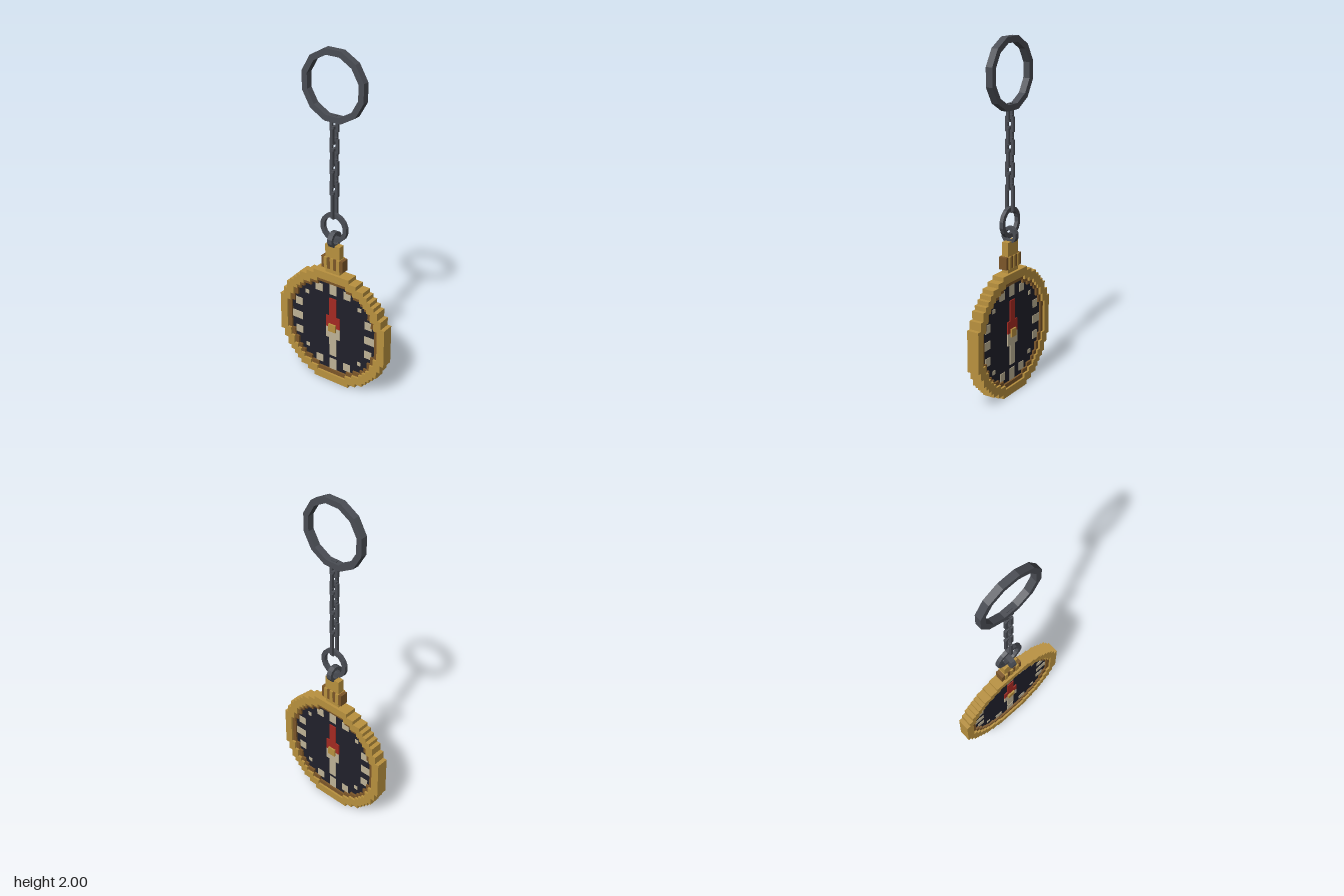
import * as THREE from 'three';
import { mergeGeometries } from 'three/addons/utils/BufferGeometryUtils.js';

const CELL = 0.024; // size of one block of the stepped disc
const material = (name, color) => {
  const m = new THREE.MeshStandardMaterial({ color });
  m.name = name;
  return m;
};

// A block given by its centre and size
const box = (x, y, z, sx, sy, sz) => new THREE.BoxGeometry(sx, sy, sz).translate(x, y, z);

// Outline of a circle stepped on the block grid, in the XY plane
function steppedCircle(r, PathType) {
  const n = Math.floor(r);
  const width = (row) => Math.round(Math.sqrt(Math.max(0, r * r - (row + 0.5) ** 2)));
  const right = [];
  for (let row = -n; row < n; row++) {
    const w = width(row);
    if (row === -n || w !== width(row - 1)) right.push([w, row]);
    if (row === n - 1 || w !== width(row + 1)) right.push([w, row + 1]);
  }
  const left = right.map(([x, y]) => [-x, y]).reverse();
  return new PathType([...right, ...left].map(([x, y]) => new THREE.Vector2(x * CELL, y * CELL)));
}

// Outline of a regular polygon with flat top, measured to its sides
function polygon(apothem, sides, PathType) {
  const r = apothem / Math.cos(Math.PI / sides);
  const pts = [];
  for (let i = 0; i < sides; i++) {
    const a = ((i + 0.5) / sides) * Math.PI * 2;
    pts.push(new THREE.Vector2(r * Math.cos(a), r * Math.sin(a)));
  }
  return new PathType(pts);
}

// Centred slab from an outline and an optional hole
function slab(shape, hole, depth) {
  if (hole) shape.holes.push(hole);
  return new THREE.ExtrudeGeometry(shape, { depth, bevelEnabled: false }).translate(0, 0, -depth / 2);
}

const steppedSlab = (outer, inner, depth) =>
  slab(steppedCircle(outer, THREE.Shape), inner && steppedCircle(inner, THREE.Path), depth).rotateY(Math.PI / 2);

const ringSlab = (outer, inner, sides, depth) =>
  slab(polygon(outer, sides, THREE.Shape), polygon(inner, sides, THREE.Path), depth);

// Chain link with clipped corners, standing in the XY plane
function linkGeometry(height) {
  const wire = 0.016, half = 0.027;
  const parts = [];
  for (const s of [-1, 1]) {
    parts.push(box(s * (half - wire / 2), 0, 0, wire, height - 0.018, wire));
    parts.push(box(0, s * (height / 2 - wire / 2), 0, 0.036, wire, wire));
  }
  return mergeGeometries(parts);
}

export function createModel() {
  const gold = material('gold', 0xba923f);
  const bronze = material('bronze', 0x7d5729);
  const navy = material('navy', 0x20202b);
  const cream = material('cream', 0xc0b497);
  const red = material('red', 0xa62a22);
  const steel = material('steel', 0x4a4d54);

  const model = new THREE.Group();
  model.name = 'compassOnChain';
  const add = (parent, name, geometry, mat) => {
    const mesh = new THREE.Mesh(geometry, mat);
    mesh.name = name;
    parent.add(mesh);
    return mesh;
  };

  // Stepped case, inner lip and dial
  const compass = new THREE.Group();
  compass.name = 'compass';
  compass.position.y = 15 * CELL;
  model.add(compass);
  add(compass, 'case', steppedSlab(15.2, 13.2, 0.072), gold);
  add(compass, 'innerLip', steppedSlab(13.2, 12.2, 0.048), bronze);
  add(compass, 'dial', steppedSlab(12.2, null, 0.024), navy);

  // Thin plates on both faces of the dial, measured in cells
  const plates = (list, thick) => mergeGeometries(list.flatMap(([z, y, w, h]) =>
    [-1, 1].map((s) => box(s * (0.012 + thick / 2), y * CELL, z * CELL, thick, h * CELL, w * CELL))));

  // Hour marks
  const marks = [];
  for (const s of [-1, 1]) {
    marks.push([0, s * 10.5, 2, 3], [s * 10.5, 0, 3, 2]);
    for (const t of [-1, 1]) {
      marks.push([s * 4, t * 10, 2, 2], [s * 10, t * 4, 2, 2], [s * 7.5, t * 7.5, 1, 1]);
    }
  }
  add(compass, 'dialMarks', plates(marks, 0.003), cream);

  // Needle halves and hub
  const needle = (s) => plates([[0, s * 5.5, 2, 5], [0, s * 1.5, 4, 3]], 0.006);
  add(compass, 'northNeedle', needle(1), red);
  add(compass, 'southNeedle', needle(-1), cream);
  add(compass, 'needleHub', plates([[0, 0, 2, 2]], 0.016), gold);

  // Neck and ribbed crown
  add(model, 'neck', box(0, 0.8, 0, 0.04, 0.19, 0.096), gold);
  const rib = 0.144 / 7;
  const ribs = { gold: [], bronze: [] };
  for (let i = -3; i <= 3; i++) {
    const odd = Math.abs(i) % 2 === 1;
    ribs[odd ? 'bronze' : 'gold'].push(
      box(0, 0.78, i * rib, odd ? 0.05 : 0.06, 0.07, rib));
  }
  add(model, 'crownRidges', mergeGeometries(ribs.gold), gold);
  add(model, 'crownGrooves', mergeGeometries(ribs.bronze), bronze);

  // Loop through the neck and the ring hanging in it
  add(model, 'neckLoop', ringSlab(0.047, 0.028, 12, 0.03), steel).position.y = 0.928;
  const joinRing = add(model, 'joiningRing', ringSlab(0.086, 0.062, 16, 0.022), steel);
  joinRing.position.y = 1.0;
  joinRing.rotation.y = Math.PI / 2;

  // Chain of links turned alternately
  const chain = new THREE.Group();
  chain.name = 'chain';
  model.add(chain);
  const short = linkGeometry(0.1);
  for (let i = 0; i < 7; i++) {
    const link = add(chain, 'chainLink', short, steel);
    link.position.y = 1.23 + i * 0.062;
    link.rotation.y = i % 2 ? 0 : Math.PI / 2;
  }
  add(chain, 'longLink', linkGeometry(0.16), steel).position.y = 1.135;

  // Large twelve-sided ring
  const keyRing = add(model, 'topRing', ringSlab(0.193, 0.16, 12, 0.04), steel);
  keyRing.position.y = 1.807;
  keyRing.rotation.y = Math.PI / 2;

  return model;
}
